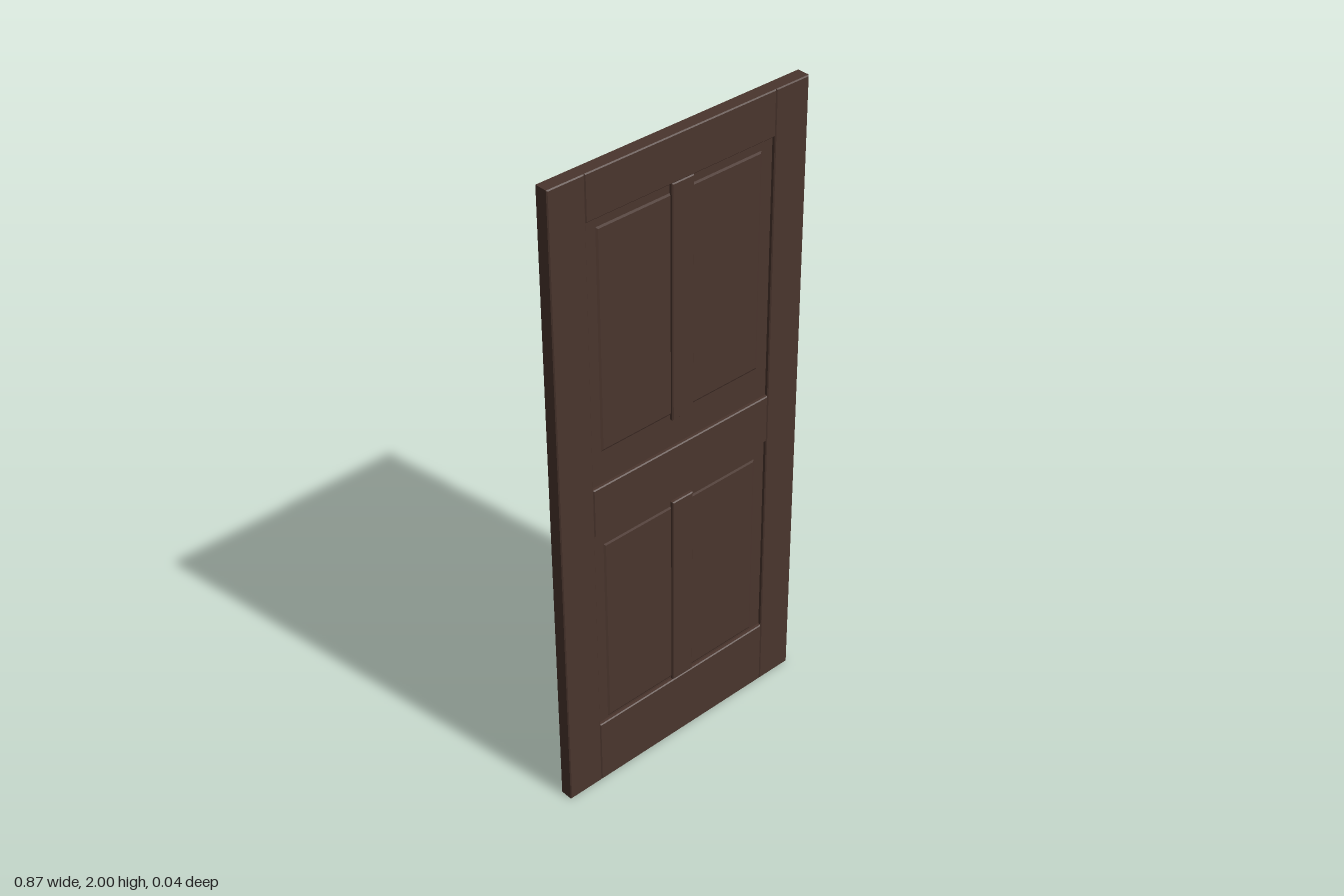
import * as THREE from 'three';

const HALF_W = 0.437;   // half door width
const STILE_X = 0.32;   // inner edge of the stiles
const DEPTH = 0.044;    // door thickness

// Rectangular board with chamfered edges, centred on z = 0
function board(name, material, x0, x1, y0, y1, depth, bevelSize, bevelDepth) {
  const shape = new THREE.Shape();
  shape.moveTo(x0, y0);
  shape.lineTo(x1, y0);
  shape.lineTo(x1, y1);
  shape.lineTo(x0, y1);
  shape.closePath();
  const core = depth - 2 * bevelDepth;
  const geometry = new THREE.ExtrudeGeometry(shape, {
    depth: core,
    bevelEnabled: true,
    bevelSegments: 1,
    bevelSize,
    bevelOffset: -bevelSize,
    bevelThickness: bevelDepth,
  });
  geometry.translate(0, 0, -core / 2);
  const mesh = new THREE.Mesh(geometry, material);
  mesh.name = name;
  return mesh;
}

export function createModel() {
  const door = new THREE.Group();
  door.name = 'door';
  const wood = new THREE.MeshStandardMaterial({ color: 0x4a352d });
  wood.name = 'dark brown wood';

  const frame = (name, x0, x1, y0, y1) =>
    door.add(board(name, wood, x0, x1, y0, y1, DEPTH, 0.003, 0.003));

  // Upright stiles
  frame('leftStile', STILE_X, HALF_W, 0, 2);
  frame('rightStile', -HALF_W, -STILE_X, 0, 2);

  // Horizontal rails
  frame('bottomRail', -STILE_X, STILE_X, 0, 0.215);
  frame('middleRail', -STILE_X, STILE_X, 0.9, 1.055);
  frame('topRail', -STILE_X, STILE_X, 1.865, 2);

  // Central muntins, stopping short of the middle rail
  frame('lowerMuntin', -0.038, 0.038, 0.215, 0.868);
  frame('upperMuntin', -0.038, 0.038, 1.145, 1.865);

  // Recessed panels, each a thin backing with a raised field on both sides
  const panels = [
    ['lower', 0.205, 0.91, 0.222, 0.85],
    ['upper', 1.045, 1.875, 1.16, 1.835],
  ];
  for (const [name, y0, y1, f0, f1] of panels) {
    const backing = new THREE.Mesh(
      new THREE.BoxGeometry(2 * STILE_X + 0.02, y1 - y0, 0.022), wood);
    backing.position.y = (y0 + y1) / 2;
    backing.name = name + 'PanelBacking';
    door.add(backing);
    door.add(board(name + 'PanelField', wood, -0.282, 0.282, f0, f1, 0.028, 0.006, 0.003));
  }
  return door;
}
